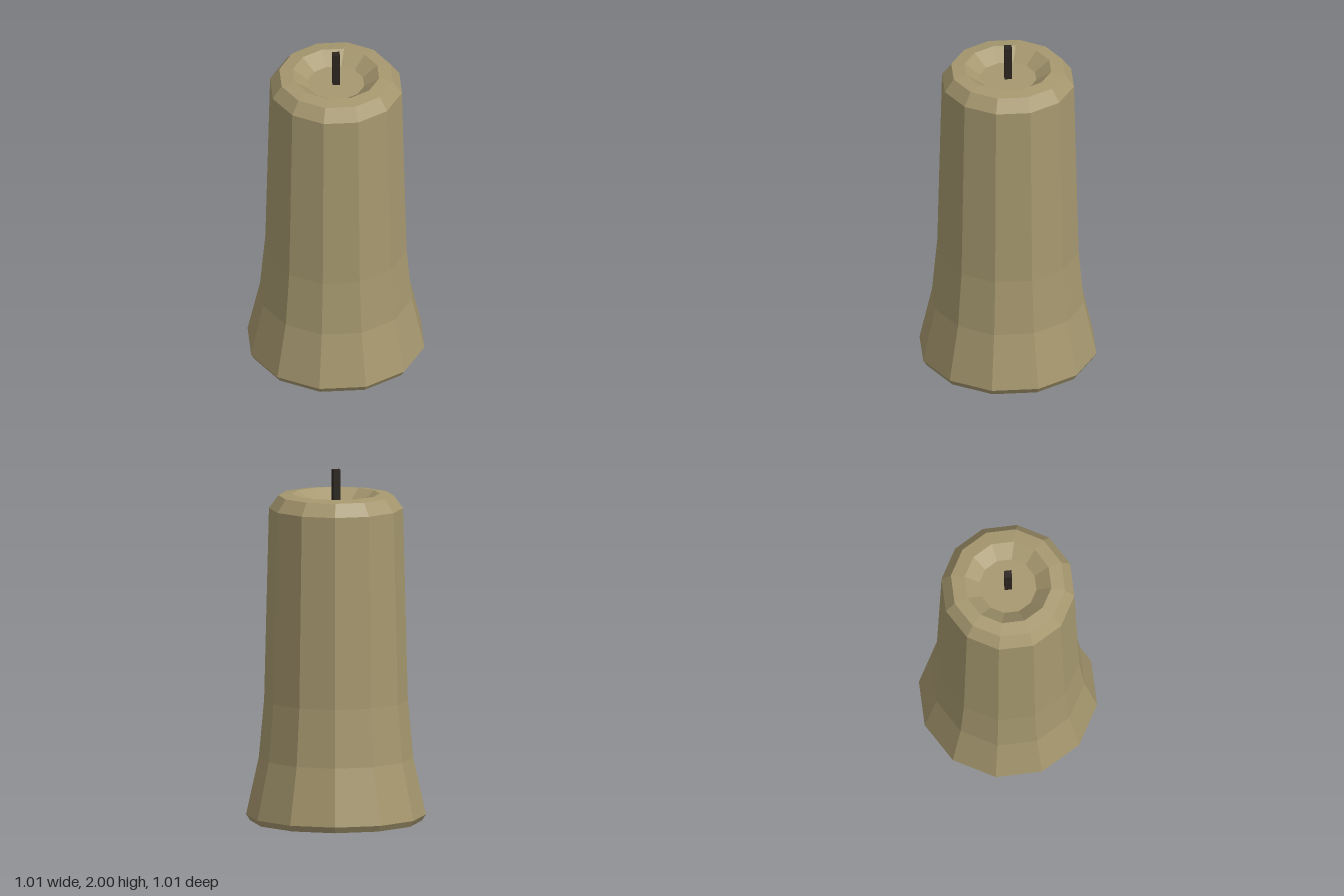
import * as THREE from 'three';

export function createModel() {
  const model = new THREE.Group();
  model.name = 'candle';

  const wax = new THREE.MeshStandardMaterial({ color: 0xa6986f, flatShading: true });
  wax.name = 'tan wax';
  const char = new THREE.MeshStandardMaterial({ color: 0x2b251e, flatShading: true });
  char.name = 'charred brown';

  const add = (name, geometry, material, y = 0) => {
    const mesh = new THREE.Mesh(geometry, material);
    mesh.name = name;
    mesh.position.y = y;
    model.add(mesh);
    return mesh;
  };

  // Twelve-sided wax body: flared foot, tapering shaft, bevelled rim, sunken pool
  const profile = [
    [0.485, 0], [0.507, 0.035], [0.435, 0.36], [0.405, 0.69], [0.378, 1.78],
    [0.325, 1.853], [0.247, 1.863], [0.162, 1.8], [0, 1.8],
  ].map(([r, y]) => new THREE.Vector2(r, y));
  add('waxBody', new THREE.LatheGeometry(profile, 12), wax);

  // Dark underside closing the foot
  add('underside', new THREE.CircleGeometry(0.485, 12).rotateX(Math.PI / 2), char);

  // Square wick standing in the pool
  add('wick', new THREE.CylinderGeometry(0.03, 0.03, 0.2, 4), char, 1.9);

  return model;
}
